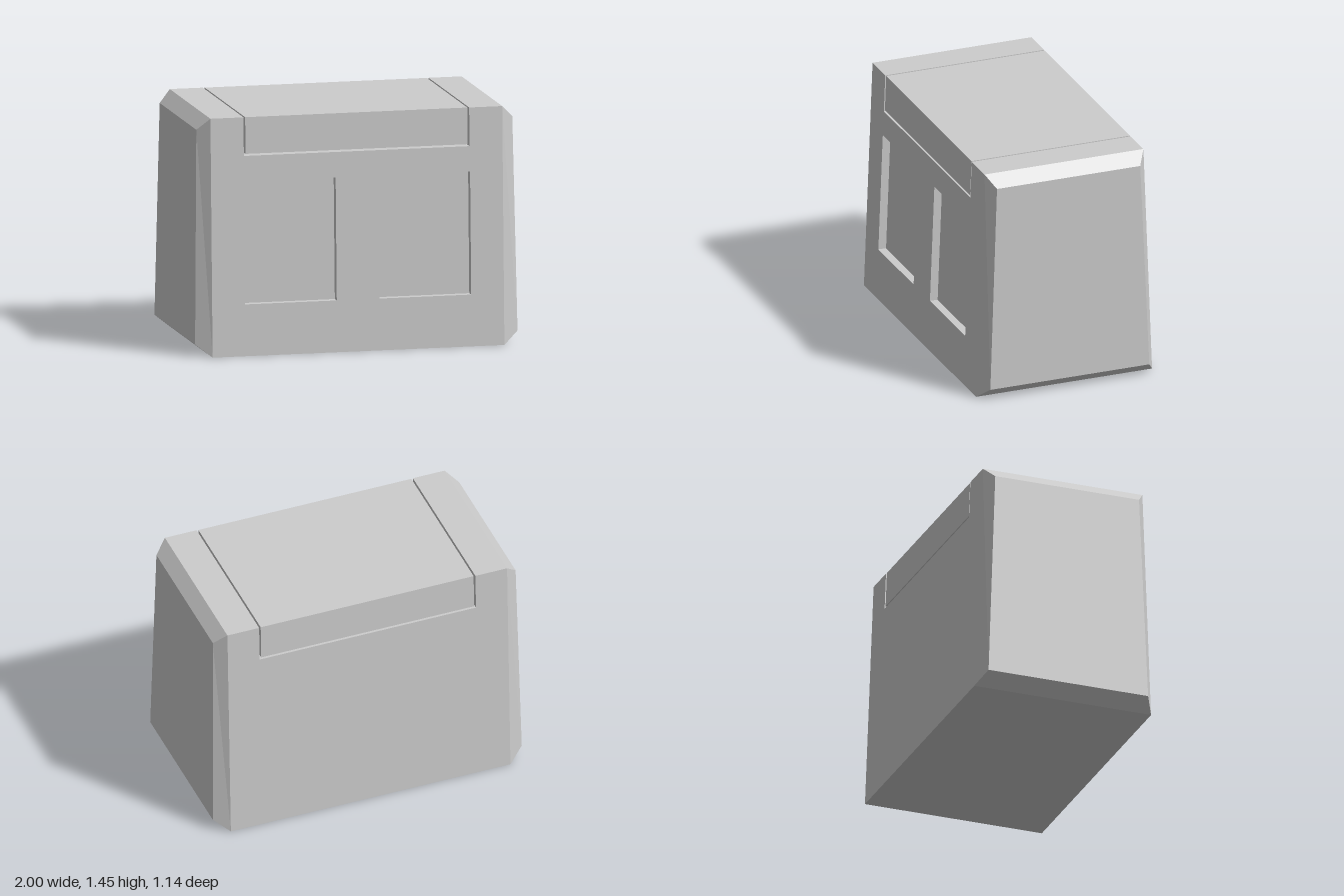
import * as THREE from 'three';
import { mergeGeometries } from 'three/addons/utils/BufferGeometryUtils.js';

const H = 1.453;        // total height
const EDGE = 0.905;     // half width of front face, where the side chamfers begin
const RECESS = 0.05;    // depth of the front panels

// Half depth of the tapered body at height y
const face = (y) => 0.572 - 0.056 * (y / H);

const V = (x, y, z) => new THREE.Vector3(x, y, z);

// Flat-shaded geometry from a list of four-cornered faces
function fromQuads(quads) {
  const pts = quads.flatMap(([a, b, c, d]) => [a, b, c, a, c, d]);
  const g = new THREE.BufferGeometry().setFromPoints(pts);
  g.computeVertexNormals();
  return g;
}

// Walls joining an outline on the front surface to the same outline further back
function walls(outline, backZ) {
  const quads = [];
  outline.forEach(([x, y], i) => {
    const [x2, y2] = outline[(i + 1) % outline.length];
    if (Math.abs(x) === EDGE && x === x2) return; // closed by the side caps
    quads.push([V(x, y, face(y)), V(x, y, backZ(y)), V(x2, y2, backZ(y2)), V(x2, y2, face(y2))]);
  });
  return quads;
}

// Flat shape leaned onto the front (side = 1) or back (side = -1) surface
function leaningFace(shape, side) {
  const g = new THREE.ShapeGeometry(shape).toNonIndexed();
  if (side < 0) g.rotateY(Math.PI);
  const p = g.attributes.position;
  for (let i = 0; i < p.count; i++) p.setZ(i, side * face(p.getY(i)));
  g.deleteAttribute('uv');
  g.computeVertexNormals();
  return g;
}

// Chamfered cap closing one side of the body
function sideCap(s) {
  const outer = [[0, 1], [0, -1], [H, -1], [H, 1]].map(([y, k]) => V(s * EDGE, y, k * face(y)));
  const inner = [[1, 0.075, 0.516], [1, 0.075, -0.516], [0.98, 1.38, -0.465], [0.98, 1.38, 0.465]]
    .map(([x, y, z]) => V(s * x, y, z));
  const quads = [inner];
  for (let i = 0; i < 4; i++) {
    const j = (i + 1) % 4;
    quads.push([outer[i], outer[j], inner[j], inner[i]]);
  }
  return quads.map((q) => (s > 0 ? q : [...q].reverse()));
}

export function createModel() {
  const model = new THREE.Group();
  model.name = 'chest';
  const grey = new THREE.MeshStandardMaterial({ color: 0xcccccc });
  grey.name = 'light grey';

  const add = (name, geometry) => {
    const mesh = new THREE.Mesh(geometry, grey);
    mesh.name = name;
    model.add(mesh);
  };

  // Body outline with the notch that holds the lid
  const outline = [
    [-EDGE, 0], [EDGE, 0], [EDGE, H], [0.7, H],
    [0.7, 1.218], [-0.7, 1.218], [-0.7, H], [-EDGE, H],
  ];
  const toPoints = (list) => list.map(([x, y]) => new THREE.Vector2(x, y));
  const frontShape = new THREE.Shape(toPoints(outline));
  const backShape = new THREE.Shape(toPoints(outline));

  // Two recessed front panels, corners listed clockwise
  const panelQuads = [];
  for (const [x0, x1] of [[-0.702, -0.132], [0.132, 0.702]]) {
    const hole = [[x0, 0.315], [x0, 1.063], [x1, 1.063], [x1, 0.315]];
    frontShape.holes.push(new THREE.Path(toPoints(hole)));
    const floorZ = (y) => face(y) - RECESS;
    panelQuads.push(...walls(hole, floorZ));
    panelQuads.push([...hole].reverse().map(([x, y]) => V(x, y, floorZ(y))));
  }

  const shell = fromQuads([
    ...walls(outline, (y) => -face(y)), ...sideCap(1), ...sideCap(-1),
  ]);
  add('body', mergeGeometries([shell, leaningFace(frontShape, 1), leaningFace(backShape, -1)]));
  add('frontPanels', fromQuads(panelQuads));

  // Lid block, separated from the notch by a narrow gap and following the taper
  const lid = new THREE.BoxGeometry(1.378, H - 1.23, 2).translate(0, (H + 1.23) / 2, 0).toNonIndexed();
  const p = lid.attributes.position;
  for (let i = 0; i < p.count; i++) p.setZ(i, p.getZ(i) * (face(p.getY(i)) - 0.002));
  lid.computeVertexNormals();
  add('lid', lid);

  return model;
}
